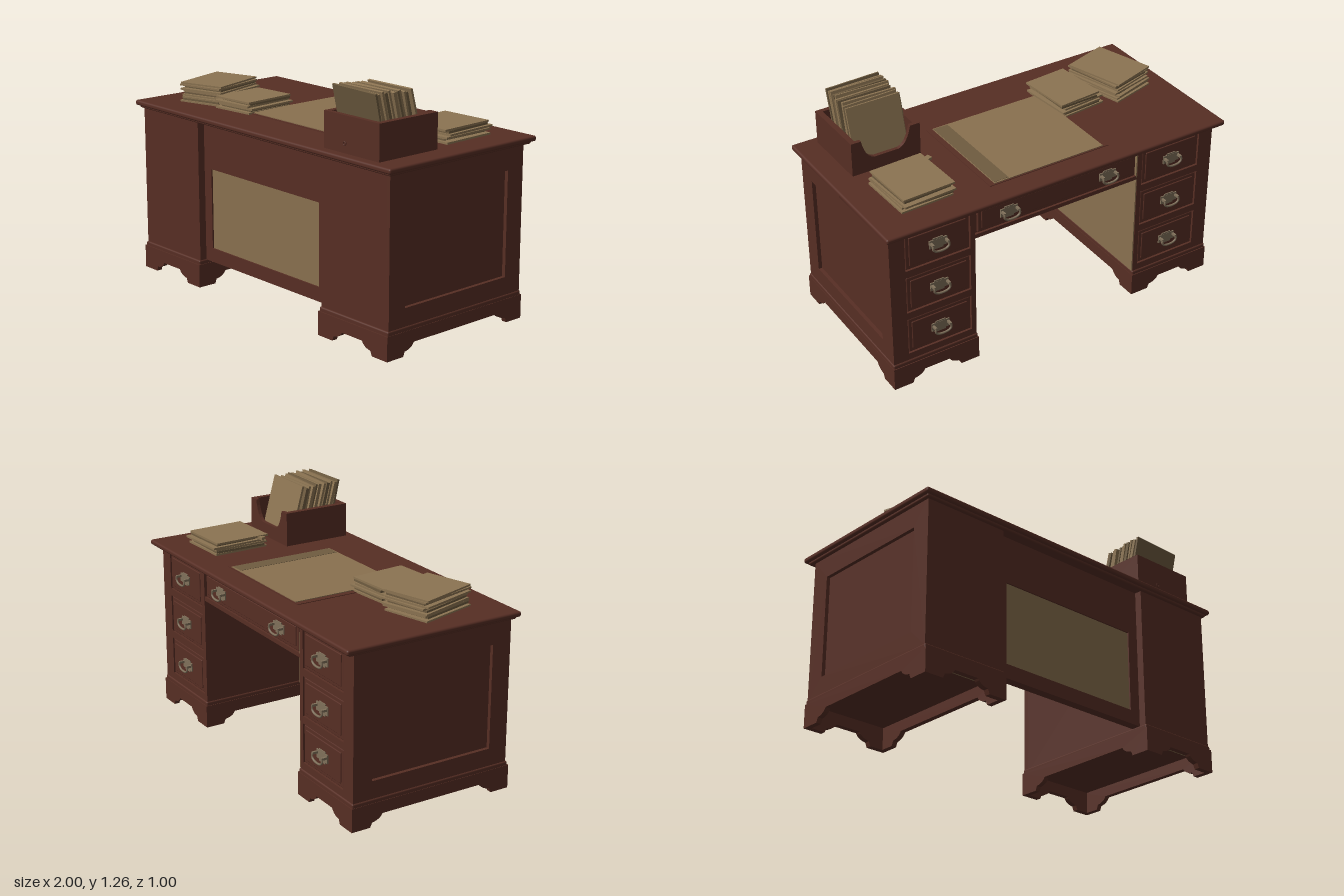
import * as THREE from 'three';
import { RoundedBoxGeometry } from 'three/addons/geometries/RoundedBoxGeometry.js';

const mat = (name, color) => Object.assign(new THREE.MeshStandardMaterial({ color }), { name });

export function createModel() {
  const wood = mat('red brown wood', 0x572e24);
  const tan = mat('tan leather', 0x89704f);
  const paper = mat('paper', 0x8c7452);
  const oldPaper = mat('aged paper', 0x6f5c40);
  const brass = mat('dull brass', 0x80705a);

  const model = new THREE.Group();
  model.name = 'writingDesk';

  const add = (parent, name, geometry, material) => {
    const mesh = new THREE.Mesh(geometry, material);
    mesh.name = name;
    parent.add(mesh);
    return mesh;
  };
  // box given by its limits on each axis
  const box = (parent, name, material, x0, x1, y0, y1, z0, z1, r = 0) => {
    const size = [Math.abs(x1 - x0), y1 - y0, z1 - z0];
    const geometry = r ? new RoundedBoxGeometry(...size, 3, r) : new THREE.BoxGeometry(...size);
    const mesh = add(parent, name, geometry, material);
    mesh.position.set((x0 + x1) / 2, (y0 + y1) / 2, (z0 + z1) / 2);
    return mesh;
  };
  const rect = (T, x0, x1, y0, y1) => new T([[x0, y0], [x1, y0], [x1, y1], [x0, y1]]
    .map(([x, y]) => new THREE.Vector2(x, y)));
  const extrude = (shape, depth) =>
    new THREE.ExtrudeGeometry(shape, { depth, bevelEnabled: false, curveSegments: 6 });
  // flat frame in the xy plane with rectangular openings
  const frame = (outer, holes, depth) => {
    const shape = rect(THREE.Shape, ...outer);
    holes.forEach((h) => shape.holes.push(rect(THREE.Path, ...h)));
    return extrude(shape, depth);
  };
  // plinth board with two bracket feet
  const bracketBoard = (length, depth) => {
    const h = length / 2, s = new THREE.Shape();
    s.moveTo(-h, 0);
    s.lineTo(-h + 0.105, 0);
    s.lineTo(-h + 0.115, 0.025);
    s.quadraticCurveTo(-h + 0.16, 0.03, -h + 0.175, 0.06);
    s.lineTo(h - 0.175, 0.06);
    s.quadraticCurveTo(h - 0.16, 0.03, h - 0.115, 0.025);
    s.lineTo(h - 0.105, 0);
    s.lineTo(h, 0);
    s.lineTo(h, 0.125);
    s.lineTo(-h, 0.125);
    return extrude(s, depth);
  };

  // drawer pull: plate, two studs and a curved bail, facing the back
  const pull = (parent, x, y) => {
    const g = new THREE.Group();
    g.name = 'drawerPull';
    g.position.set(x, y, -0.443);
    parent.add(g);
    box(g, 'pullPlate', brass, -0.05, 0.05, -0.02, 0.026, -0.006, 0.002);
    box(g, 'pullPlateCrest', brass, -0.028, 0.028, -0.03, 0.034, -0.005, 0.002);
    for (const s of [-1, 1]) box(g, 'pullStud', brass, s * 0.036, s * 0.048, 0.004, 0.016, -0.034, 0);
    const path = new THREE.CatmullRomCurve3([[-0.042, 0.014], [-0.044, -0.01], [-0.026, -0.024],
      [0.026, -0.024], [0.044, -0.01], [0.042, 0.014]].map(([a, b]) => new THREE.Vector3(a, b, -0.033)));
    add(g, 'pullBail', new THREE.TubeGeometry(path, 18, 0.006, 6), brass);
  };
  const drawer = (parent, x0, x1, y0, y1) => {
    box(parent, 'drawerFront', wood, x0, x1, y0, y1, -0.438, -0.41, 0.006);
    box(parent, 'drawerField', wood, x0 + 0.02, x1 - 0.02, y0 + 0.02, y1 - 0.02, -0.443, -0.43, 0.004);
  };

  // desk top with moulded edge
  box(model, 'deskTop', wood, -1, 1, 0.918, 0.946, -0.5, 0.5, 0.011);
  box(model, 'topMoulding', wood, -0.983, 0.983, 0.905, 0.925, -0.48, 0.483, 0.008);

  // pedestals
  for (const s of [1, -1]) {
    const p = new THREE.Group();
    p.name = s > 0 ? 'leftPedestal' : 'rightPedestal';
    model.add(p);
    const X = (a, b) => (s > 0 ? [a, b] : [-b, -a]);
    box(p, 'pedestalCore', wood, ...X(0.488, 0.945), 0.125, 0.91, -0.415, 0.465);
    const side = add(p, 'sideFrame',
      frame([-0.465, 0.44, 0.14, 0.91], [[-0.36, 0.335, 0.24, 0.79]], 0.022), wood);
    side.rotation.y = Math.PI / 2;
    side.position.x = s > 0 ? 0.943 : -0.965;
    const rows = [0.29, 0.54, 0.79];
    const back = add(p, 'drawerFrame', frame([...X(0.488, 0.965), 0.14, 0.91],
      rows.map((y) => [...X(0.515, 0.88), y - 0.105, y + 0.105]), 0.03), wood);
    back.position.z = -0.442;
    for (const y of rows) {
      drawer(p, ...X(0.519, 0.876), y - 0.101, y + 0.101);
      pull(p, s * 0.698, y);
    }
    // plinth and bracket feet
    box(p, 'plinthCap', wood, ...X(0.483, 0.97), 0.118, 0.147, -0.448, 0.474, 0.008);
    for (const z of [-0.452, 0.45]) {
      add(p, 'plinthBoard', bracketBoard(0.492, 0.03), wood).position.set(s * 0.726, 0, z);
    }
    for (const x of [0.48, 0.944]) {
      const b = add(p, 'plinthSide', bracketBoard(0.932, 0.028), wood);
      b.rotation.y = Math.PI / 2;
      b.position.set(s > 0 ? x : -x - 0.028, 0, 0.014);
    }
    box(p, 'plinthLining', tan, ...X(0.56, 0.89), 0.06, 0.118, 0.443, 0.45);
  }
  // lining on one wall of the kneehole
  box(model, 'kneeholeLining', tan, -0.488, -0.482, 0.148, 0.905, -0.44, 0.37);

  // middle front panel
  add(model, 'frontPanelFrame',
    frame([-0.49, 0.49, 0.145, 0.91], [[-0.43, 0.425, 0.22, 0.655]], 0.05), wood).position.z = 0.375;
  box(model, 'frontPanel', tan, -0.43, 0.425, 0.22, 0.655, 0.38, 0.417);

  // wide drawer over the kneehole
  box(model, 'middleRail', wood, -0.49, 0.49, 0.735, 0.91, -0.425, -0.38);
  box(model, 'middleLip', wood, -0.49, 0.49, 0.73, 0.752, -0.44, -0.38);
  drawer(model, -0.47, 0.47, 0.757, 0.9);
  for (const x of [-0.295, 0.295]) pull(model, x, 0.825);

  // desk pad
  box(model, 'padBase', wood, -0.35, 0.355, 0.944, 0.949, -0.37, 0.25);
  box(model, 'deskPad', tan, -0.32, 0.325, 0.946, 0.953, -0.363, 0.237);
  box(model, 'padSheet', oldPaper, 0.24, 0.322, 0.952, 0.9545, -0.355, 0.23);

  // seeded jitter for loose paper
  let seed = 11;
  const jitter = (a) => {
    seed = (seed * 16807) % 2147483647;
    return (seed / 2147483647 - 0.5) * 2 * a;
  };
  const stack = (name, x, z, w, d, top, turn) => {
    const g = new THREE.Group();
    g.name = name;
    g.position.set(x, 0.946, z);
    g.rotation.y = turn;
    model.add(g);
    const count = Math.round((top - 0.946) / 0.0115), step = (top - 0.946) / count;
    for (let i = 0; i < count; i++) {
      const thin = i % 3 === 1, inset = thin ? 0.012 : 0;
      const m = box(g, 'paperSheaf', thin ? oldPaper : paper, -w / 2 + inset, w / 2 - inset,
        i * step, (i + 1) * step - (thin ? 0 : 0.002), -d / 2 + inset, d / 2 - inset);
      m.position.x += jitter(0.012);
      m.position.z += jitter(0.012);
      m.rotation.y = jitter(0.04);
    }
  };
  stack('tallPaperStack', -0.71, 0.14, 0.265, 0.335, 1.057, 0.28);
  stack('lowPaperStack', -0.425, 0.135, 0.25, 0.305, 1.018, 0.06);
  stack('sidePaperStack', 0.68, -0.19, 0.29, 0.315, 1.02, 0.04);
  const clip = box(model, 'paperTab', paper, 0.51, 0.6, 1.0, 1.014, -0.09, -0.06);
  clip.rotation.y = 0.3;

  // file holder with a scooped rear wall
  const holder = new THREE.Group();
  holder.name = 'fileHolder';
  model.add(holder);
  box(holder, 'holderFloor', wood, 0.49, 0.875, 0.945, 0.965, 0.07, 0.45);
  box(holder, 'holderFront', wood, 0.49, 0.875, 0.945, 1.13, 0.425, 0.45);
  box(holder, 'holderSide', wood, 0.49, 0.52, 0.945, 1.13, 0.07, 0.45);
  box(holder, 'holderSide', wood, 0.845, 0.875, 0.945, 1.13, 0.07, 0.45);
  const scoop = new THREE.Shape();
  scoop.moveTo(0.49, 0.945);
  scoop.lineTo(0.875, 0.945);
  scoop.lineTo(0.875, 1.13);
  scoop.lineTo(0.82, 1.13);
  scoop.quadraticCurveTo(0.8, 1.03, 0.75, 1.02);
  scoop.lineTo(0.615, 1.02);
  scoop.quadraticCurveTo(0.565, 1.03, 0.545, 1.13);
  scoop.lineTo(0.49, 1.13);
  add(holder, 'holderRear', extrude(scoop, 0.02), wood).position.z = 0.07;
  const ring = add(holder, 'holderPull', new THREE.TorusGeometry(0.009, 0.003, 6, 12), wood);
  ring.position.set(0.64, 0.995, 0.453);

  // leaning files
  for (let i = 0; i < 11; i++) {
    const h = 0.27 + jitter(0.012);
    const m = box(holder, 'file', i % 3 === 1 ? oldPaper : paper, 0.525, 0.822, 0, h, 0, 0.012 + (i % 2) * 0.006);
    m.position.set(0.673 + jitter(0.008), 1.118 + jitter(0.008), 0.165 + i * 0.0225);
    m.rotation.x = 0.24 + jitter(0.04);
    m.rotation.z = jitter(0.02);
  }
  return model;
}
